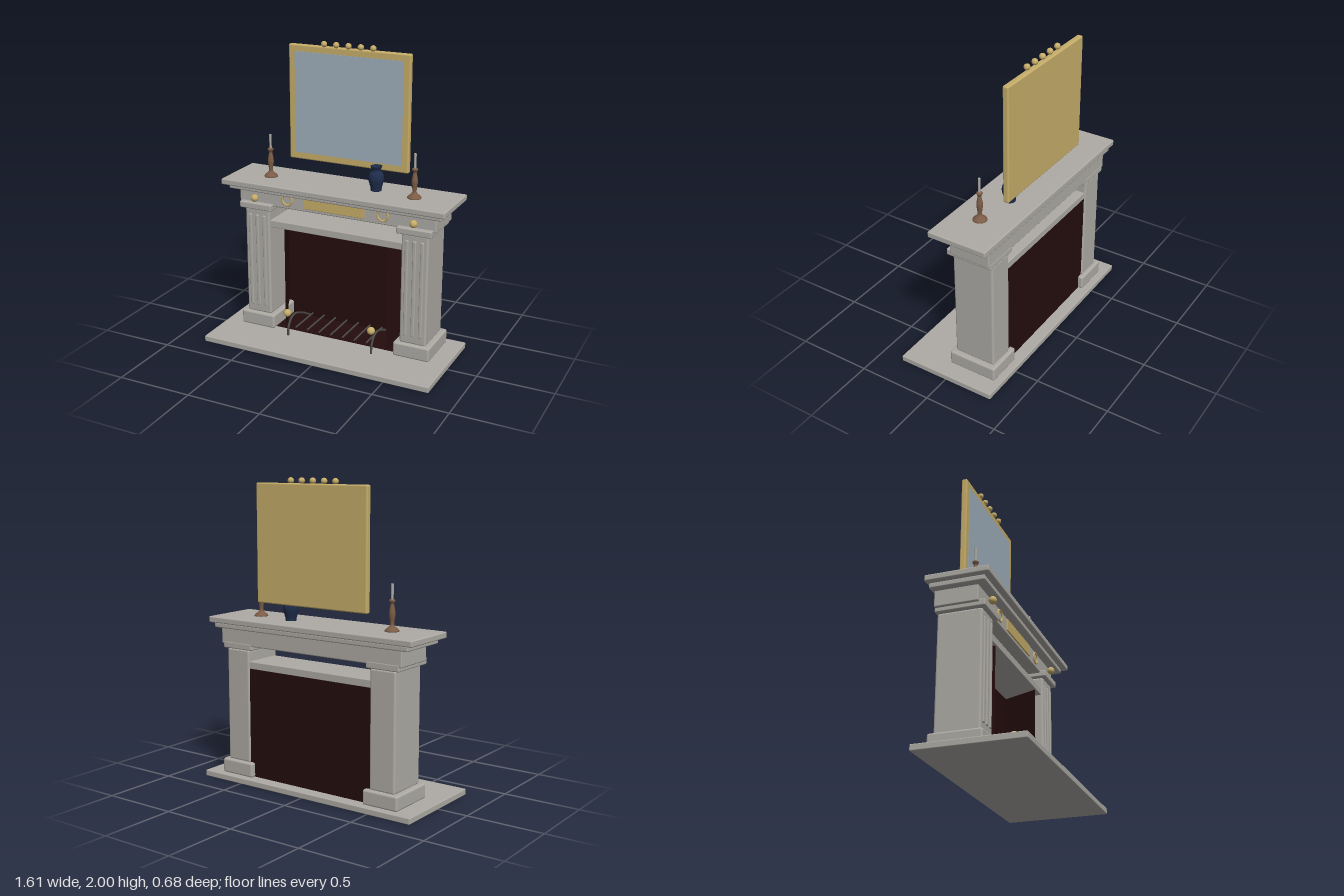
import * as THREE from 'three';
import { RoundedBoxGeometry } from 'three/addons/geometries/RoundedBoxGeometry.js';

const mat = (name, color, side = THREE.FrontSide) => {
  const m = new THREE.MeshStandardMaterial({ color, side });
  m.name = name;
  return m;
};

export function createModel() {
  const model = new THREE.Group();
  model.name = 'fireplace';
  const stone = mat('stone', 0xaeaba5);
  const gold = mat('gold', 0xc6ad69);
  const soot = mat('sootyBrick', 0x240c0c, THREE.DoubleSide);
  const glass = mat('mirrorGlass', 0x9fb0bc);
  const bronze = mat('bronze', 0x7b5c46);
  const iron = mat('iron', 0x4c4a47);
  const navy = mat('navyGlaze', 0x1f2d4c, THREE.DoubleSide);

  const add = (name, geo, material, x = 0, y = 0, z = 0) => {
    const mesh = new THREE.Mesh(geo, material);
    mesh.name = name;
    mesh.position.set(x, y, z);
    model.add(mesh);
    return mesh;
  };
  // Box given by its x centre, width and its y and z limits
  const slab = (name, material, x, w, y0, y1, z0, z1, r = 0.008) =>
    add(name, new RoundedBoxGeometry(w, y1 - y0, z1 - z0, 3, r), material, x, (y0 + y1) / 2, (z0 + z1) / 2);
  const ball = (name, material, r, x, y, z) => add(name, new THREE.SphereGeometry(r, 20, 14), material, x, y, z);
  const lathe = (name, material, pts, x, y, z) => {
    const curve = new THREE.SplineCurve(pts.map(p => new THREE.Vector2(...p)));
    return add(name, new THREE.LatheGeometry(curve.getPoints(32), 28), material, x, y, z);
  };
  const tube = (name, material, pts, r) => {
    const curve = new THREE.CatmullRomCurve3(pts.map(p => new THREE.Vector3(...p)));
    return add(name, new THREE.TubeGeometry(curve, 28, r, 8), material);
  };

  // Stone surround
  slab('hearth', stone, 0, 1.61, 0.005, 0.045, -0.34, 0.34, 0.006);
  slab('lintel', stone, 0, 0.96, 0.765, 0.815, -0.26, 0, 0.005);
  slab('frieze', stone, 0, 1.395, 0.915, 1.025, -0.275, 0.005);
  slab('cornice', stone, 0, 1.49, 1.018, 1.052, -0.29, 0.062);
  slab('mantelShelf', stone, 0, 1.565, 1.05, 1.09, -0.305, 0.1);

  for (const s of [-1, 1]) {
    const x = s * 0.563;
    slab('plinth', stone, x, 0.25, 0.042, 0.14, -0.295, 0.04, 0.014);
    slab('pilaster', stone, x, 0.182, 0.135, 0.89, -0.27, 0.015, 0.014);
    slab('capital', stone, x, 0.235, 0.888, 0.932, -0.277, 0.042);
    for (const i of [-1, 0, 1])
      slab('pilasterReed', stone, x + i * 0.052, 0.024, 0.19, 0.845, 0.004, 0.024, 0.007);
    ball('capitalKnob', gold, 0.025, x, 0.97, 0.045);
    add('friezeRing', new THREE.TorusGeometry(0.036, 0.007, 10, 32), gold, s * 0.34, 0.977, 0.007);
  }
  slab('friezePlaque', gold, 0, 0.43, 0.936, 1.014, -0.002, 0.013, 0.004);

  // Firebox: back, floor and two splayed cheeks
  add('fireboxBack', new THREE.BoxGeometry(0.945, 0.725, 0.012), soot, 0, 0.405, -0.254);
  add('fireboxFloor', new THREE.BoxGeometry(0.94, 0.006, 0.25), soot, 0, 0.046, -0.128);
  for (const s of [-1, 1]) {
    const cheek = add('fireboxCheek', new THREE.PlaneGeometry(Math.hypot(0.1, 0.24), 0.722), soot, s * 0.422, 0.406, -0.128);
    cheek.rotation.y = Math.atan2(0.24, s * 0.1);
  }

  // Andirons and grate
  for (const s of [-1, 1]) {
    const x = s * 0.306;
    tube('andiron', iron, [[x, 0.04, 0.083], [x, 0.1, 0.075], [x, 0.148, 0.04],
      [x, 0.162, -0.01], [x, 0.13, -0.11], [x, 0.06, -0.24]], 0.008);
    ball('andironBall', gold, 0.026, x, 0.21, 0.088);
  }
  for (let i = -3; i <= 3; i++)
    add('grateBar', new THREE.CylinderGeometry(0.006, 0.006, 0.25, 8), iron, i * 0.0867, 0.1, -0.07).rotation.x = Math.PI / 2;

  // Mirror with beads along its top
  slab('mirrorFrame', gold, 0, 0.846, 1.203, 1.964, -0.235, -0.195, 0.01);
  add('mirrorGlass', new THREE.BoxGeometry(0.756, 0.67, 0.006), glass, 0, 1.585, -0.195);
  for (let i = -2; i <= 2; i++) ball('frameBead', gold, 0.02, i * 0.085, 1.98, -0.2);

  // Candlesticks
  for (const s of [-1, 1]) {
    const x = s * 0.511;
    lathe('candlestick', bronze, [[0.0, 0], [0.042, 0.001], [0.04, 0.014], [0.016, 0.036], [0.014, 0.06],
      [0.02, 0.11], [0.013, 0.155], [0.011, 0.17], [0.02, 0.188], [0.012, 0.197], [0, 0.197]], x, 1.088, -0.09);
    add('candle', new THREE.CylinderGeometry(0.008, 0.008, 0.11, 16), stone, x, 1.323, -0.09);
  }

  // Vase
  lathe('vase', navy, [[0, 0], [0.034, 0.001], [0.036, 0.02], [0.05, 0.075], [0.046, 0.11], [0.029, 0.136],
    [0.036, 0.158], [0.038, 0.164], [0.03, 0.16], [0.024, 0.136], [0.03, 0.1], [0, 0.06]], 0.235, 1.088, -0.125);

  return model;
}
